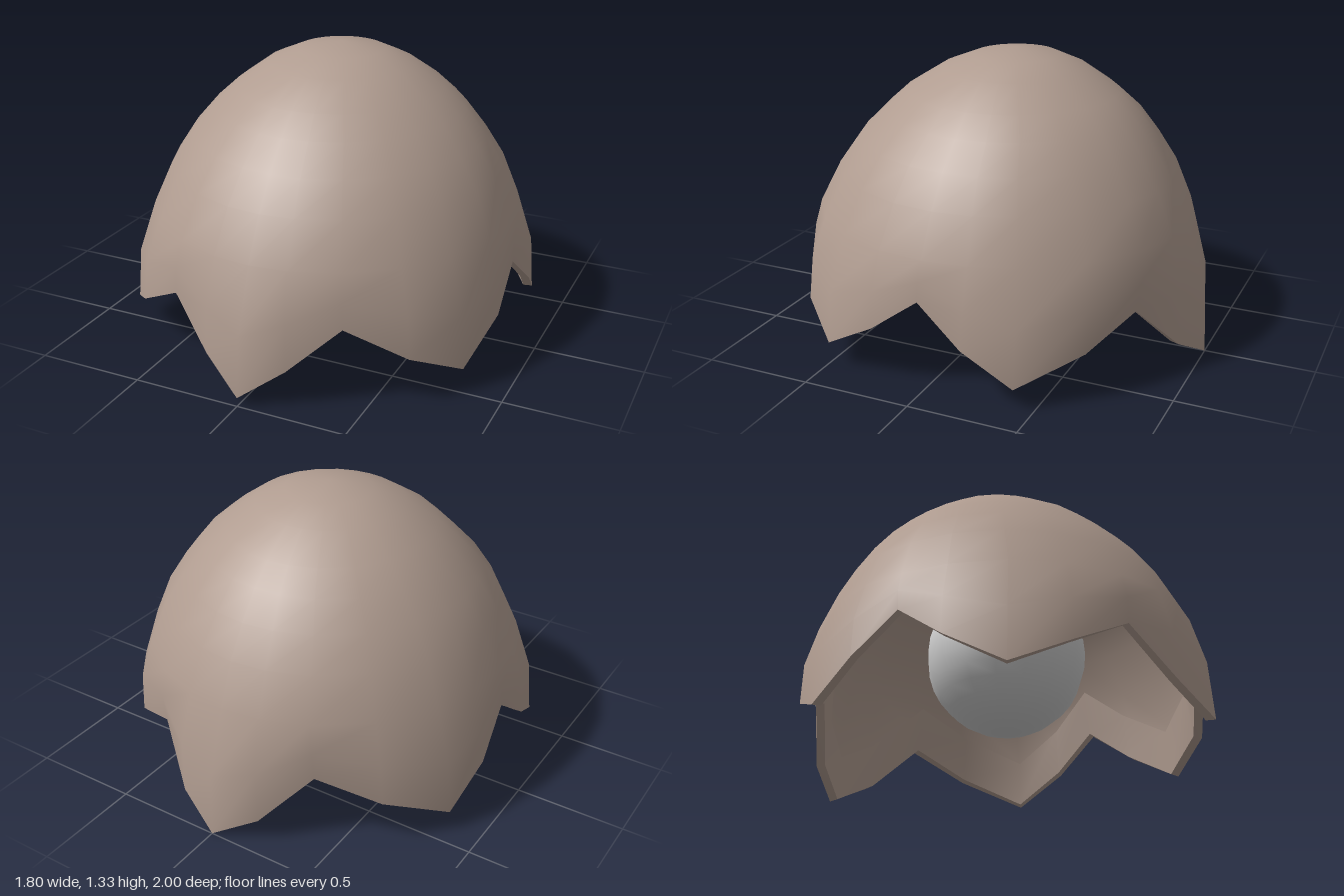
import * as THREE from 'three';
import { toCreasedNormals } from 'three/addons/utils/BufferGeometryUtils.js';

// Scalloped rim, from the back tip round the +x side to the front tip: x, y, z
const HALF_RIM = [
  [0, 0, -1], [0.2, 0.11, -0.93], [0.4, 0.33, -0.79], [0.66, 0.22, -0.66],
  [0.86, 0.1, -0.42], [0.9, 0.25, -0.2], [0.875, 0.42, 0.01], [0.885, 0.26, 0.23],
  [0.82, 0.11, 0.49], [0.65, 0.22, 0.69], [0.4, 0.36, 0.81], [0.19, 0.17, 0.92], [0, 0.04, 1],
];

// Dome rings above the petals: height, half width, back z, front z
const RINGS = [
  [0.6, 0.85, -0.89, 0.87], [0.79, 0.77, -0.81, 0.77], [0.93, 0.68, -0.72, 0.67],
  [1.05, 0.58, -0.63, 0.55], [1.14, 0.48, -0.53, 0.45], [1.24, 0.34, -0.38, 0.29],
  [1.3, 0.2, -0.25, 0.14], [1.33, 0, -0.05, -0.05],
];

function shellGeometry() {
  const mirrored = HALF_RIM.slice(1, -1).reverse().map(([x, y, z]) => [-x, y, z]);
  const rim = [...HALF_RIM, ...mirrored].map((p) => new THREE.Vector3(...p));
  const scaled = (p, s, dy) => new THREE.Vector3(p.x * s, p.y + dy, p.z * s);

  const rings = RINGS.map(([y, a, back, front]) => rim.map((p) => {
    const t = Math.atan2(p.x, -p.z);
    return new THREE.Vector3(a * Math.sin(t), y, (front + back) / 2 - (front - back) / 2 * Math.cos(t));
  }));

  // Petal belly: halfway to the first ring, pushed out more on long petals
  const belly = rim.map((p, j) => {
    const m = p.clone().lerp(rings[0][j], 0.5);
    return scaled(m, 1 + 0.07 * (0.6 - p.y), 0);
  });

  // Inward lip: turned-in edge and the short inner wall above it
  const lipEdge = rim.map((p) => scaled(p, 0.955, 0.005));
  const lipTop = rim.map((p) => scaled(p, 0.945 - 0.1 * p.y, 0.22));

  const rows = [lipTop, lipEdge, rim, belly, ...rings];
  const n = rim.length;
  const positions = rows.flat().flatMap((p) => [p.x, p.y, p.z]);
  const index = [];
  for (let i = 0; i < rows.length - 1; i++) {
    for (let j = 0; j < n; j++) {
      const k = (j + 1) % n;
      const a = i * n + j, b = i * n + k, c = a + n, d = b + n;
      index.push(b, a, c);
      if (i < rows.length - 2) index.push(b, c, d);
    }
  }
  const geometry = new THREE.BufferGeometry();
  geometry.setAttribute('position', new THREE.Float32BufferAttribute(positions, 3));
  geometry.setIndex(index);
  return toCreasedNormals(geometry, 0.9);
}

export function createModel() {
  const model = new THREE.Group();
  model.name = 'petalDome';

  const shell = new THREE.Mesh(
    shellGeometry(),
    new THREE.MeshStandardMaterial({ color: 0xb09c90, side: THREE.DoubleSide }),
  );
  shell.name = 'scallopedShell';
  model.add(shell);

  // Ball hanging inside the shell
  const core = new THREE.Mesh(
    new THREE.SphereGeometry(0.37, 16, 16),
    new THREE.MeshStandardMaterial({ color: 0xcccccc }),
  );
  core.name = 'innerBall';
  core.position.set(0, 0.535, 0);
  model.add(core);

  return model;
}
